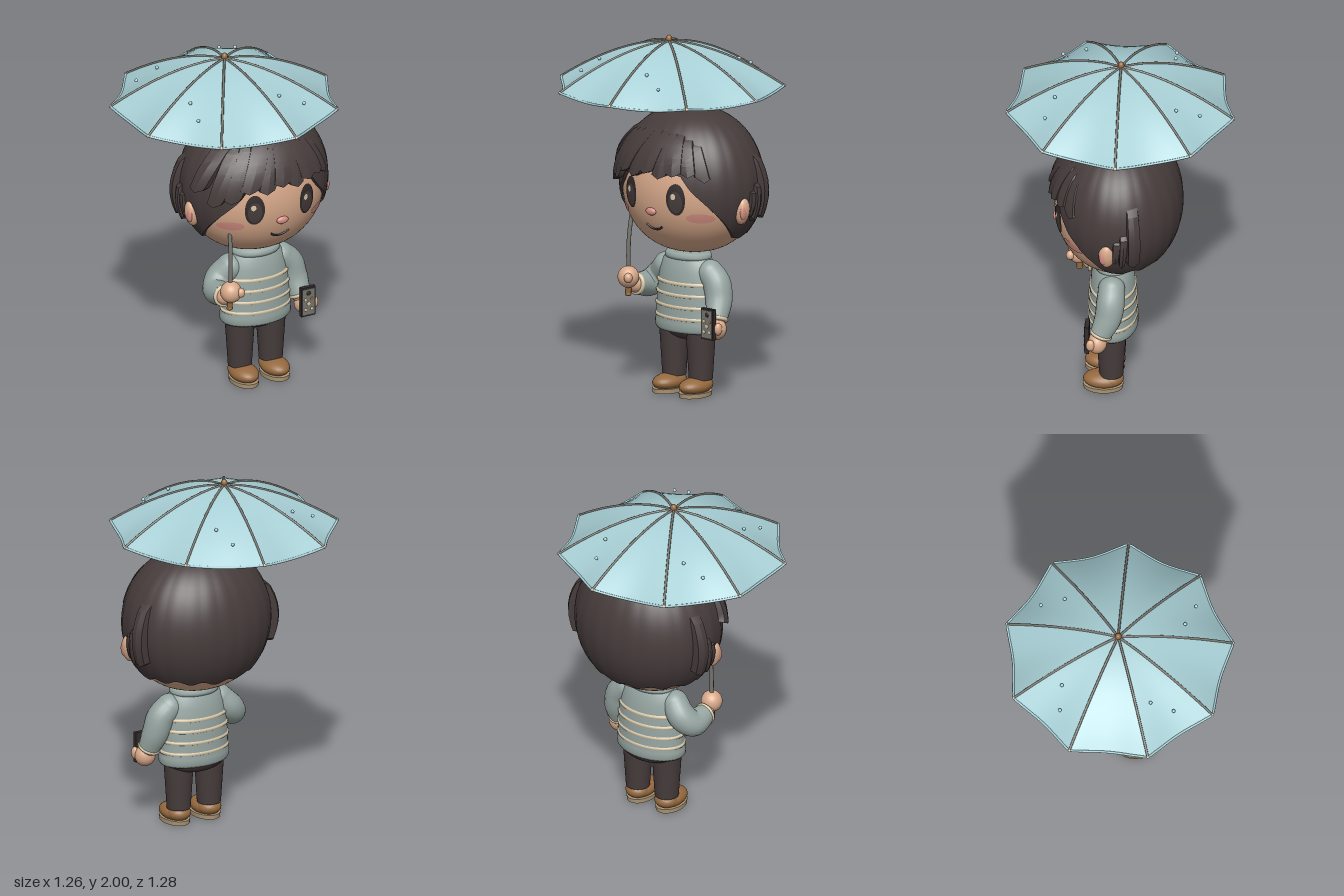
import * as THREE from 'three';
import { toCreasedNormals, mergeVertices } from 'three/addons/utils/BufferGeometryUtils.js';

const mat = (name, color, side = THREE.FrontSide) => {
  const m = new THREE.MeshStandardMaterial({ color, side });
  m.name = name;
  return m;
};
const V = (x, y, z) => new THREE.Vector3(x, y, z);
const DEG = Math.PI / 180;
const CX = 0.155; // body centre line

// Surface from fn(u, v) with v running down or outward, u anticlockwise from above
function grid(fn, nu, nv, crease = 0.7) {
  const pos = [], idx = [];
  for (let i = 0; i <= nv; i++)
    for (let j = 0; j <= nu; j++) pos.push(...fn(j / nu, i / nv, i, j));
  for (let i = 0; i < nv; i++)
    for (let j = 0; j < nu; j++) {
      const a = i * (nu + 1) + j, b = a + nu + 1;
      idx.push(a, b, a + 1, a + 1, b, b + 1);
    }
  const g = new THREE.BufferGeometry();
  g.setAttribute('position', new THREE.Float32BufferAttribute(pos, 3));
  g.setIndex(idx);
  return toCreasedNormals(mergeVertices(g, 1e-5), crease);
}

// Rounded, slightly square ellipsoids for head and hair
const HEAD = { y: 1.18, z: 0.01, rx: 0.41, ry: 0.375, rz: 0.35 };
const HAIR = { y: 1.205, z: 0.008, rx: 0.435, ry: 0.415, rz: 0.365 };
function onBlob(b, az, y, s = 1) {
  const c = Math.min(1, Math.max(-1, (y - b.y) / b.ry));
  const r = Math.pow(1 - c * c, 0.425) * s;
  return [CX + b.rx * r * Math.sin(az), y, b.z + b.rz * r * Math.cos(az)];
}
function faceZ(x, y) {
  const c = (y - HEAD.y) / HEAD.ry, R = Math.pow(1 - c * c, 0.425);
  return HEAD.z + HEAD.rz * Math.sqrt(Math.max(0, R * R - ((x - CX) / HEAD.rx) ** 2));
}

// Hairline height by angle from the front
const LINE = [[0, 1.34], [27, 1.3], [35, 1.22], [54, 1.1], [75, 0.97], [85, 0.92], [130, 0.93], [180, 0.91]];
function hairline(deg) {
  const k = LINE.findIndex((p, i) => i && deg <= p[0]);
  if (k < 1) return 0.91;
  const [a, b] = [LINE[k - 1], LINE[k]];
  return a[1] + (b[1] - a[1]) * (deg - a[0]) / (b[0] - a[0]);
}

export function createModel() {
  const M = {
    skin: mat('skin', 0xd9aa8b), hair: mat('dark hair and trousers', 0x473c3c, THREE.DoubleSide),
    knit: mat('grey knit', 0x96a5a1), cream: mat('cream', 0xd8c8a8),
    canopy: mat('pale blue fabric', 0xa8d0d6, THREE.DoubleSide), metal: mat('grey metal', 0x77756e),
    brown: mat('brown leather', 0x95693f), sole: mat('tan sole', 0xae9876),
    blush: mat('blush', 0xd48e83), dark: mat('near black', 0x322b2b),
  };
  const root = new THREE.Group();
  const group = (name) => { const g = new THREE.Group(); g.name = name; root.add(g); return g; };
  const add = (parent, name, geo, m) => {
    const o = new THREE.Mesh(geo, m);
    o.name = name;
    parent.add(o);
    return o;
  };
  const ball = (p, name, m, c, r) => {
    const o = add(p, name, new THREE.SphereGeometry(1, 28, 18), m);
    o.position.set(...c);
    o.scale.set(...r);
    return o;
  };
  const tube = (p, name, m, pts, r, n = 24, closed = false) =>
    add(p, name, new THREE.TubeGeometry(new THREE.CatmullRomCurve3(pts, closed), n, r, 8, closed), m);
  // Tube whose radius follows a list
  const limb = (p, name, m, pts, radii) => {
    const n = 20, curve = new THREE.CatmullRomCurve3(pts), g = new THREE.TubeGeometry(curve, n, 1, 20);
    const a = g.attributes.position, q = new THREE.Vector3();
    for (let i = 0; i < a.count; i++) {
      const t = Math.floor(i / 21) / n, c = curve.getPointAt(t);
      const k = t * (radii.length - 1), f = Math.min(Math.floor(k), radii.length - 2);
      q.fromBufferAttribute(a, i).sub(c).multiplyScalar(radii[f] + (radii[f + 1] - radii[f]) * (k - f)).add(c);
      a.setXYZ(i, q.x, q.y, q.z);
    }
    return add(p, name, g, m);
  };

  // Umbrella
  const umbrella = group('umbrella'), UX = -0.02, R = 0.64, N = 9;
  const dome = (t) => 1.965 - 0.25 * Math.pow(t, 1.7);
  const canopyPoint = (u, t, lift = 0) => {
    const s = Math.sin(Math.PI * ((u * N) % 1)), a = Math.PI / 2 + u * Math.PI * 2;
    const r = R * t * (1 - 0.085 * s * t);
    return [UX + r * Math.sin(a), dome(t) - 0.02 * s * t * t + lift, r * Math.cos(a)];
  };
  add(umbrella, 'canopy', grid((u, v) => canopyPoint(u, v), N * 10, 14, 0.3), M.canopy);
  const rim = [];
  for (let i = 0; i < N * 10; i++) rim.push(V(...canopyPoint(i / (N * 10), 1)));
  tube(umbrella, 'canopyEdge', M.canopy, rim, 0.007, 180, true);
  for (let k = 0; k < N; k++) {
    const pts = [];
    for (let i = 0; i <= 8; i++) pts.push(V(...canopyPoint(k / N, 0.02 + 0.98 * i / 8, 0.001)));
    tube(umbrella, 'rib', M.metal, pts, 0.007, 16);
    ball(umbrella, 'ribTip', M.cream, canopyPoint(k / N, 1), [0.009, 0.009, 0.009]);
  }
  for (const [x, z] of [[0.19, -0.45], [0.22, -0.32], [-0.42, -0.29], [-0.29, -0.29], [-0.35, 0.21], [-0.37, 0.34], [0.13, 0.36], [0.26, 0.41]])
    ball(umbrella, 'raindrop', M.canopy, [x, dome(Math.hypot(x - UX, z) / R) - 0.004, z], [0.01, 0.01, 0.01]);
  ball(umbrella, 'finial', M.brown, [UX, 1.977, 0], [0.018, 0.023, 0.018]);
  tube(umbrella, 'shaft', M.metal, [V(-0.113, 0.6, 0.235), V(-0.108, 0.92, 0.23), V(-0.08, 1.45, 0.1), V(-0.05, 1.7, 0.045), V(UX, 1.97, 0)], 0.012, 40);
  tube(umbrella, 'handle', M.brown, [V(-0.115, 0.55, 0.235), V(-0.113, 0.64, 0.235)], 0.017, 4);
  ball(umbrella, 'handleEnd', M.brown, [-0.115, 0.55, 0.235], [0.018, 0.012, 0.018]);

  // Head
  const head = group('head');
  add(head, 'face', grid((u, v) => onBlob(HEAD, u * 2 * Math.PI, HEAD.y + HEAD.ry * Math.cos(v * Math.PI)), 56, 36, 3), M.skin);
  // Thin patch laid on the face
  const patch = (name, m, cx, cy, rx, ry, off) => {
    const g = new THREE.RingGeometry(0.001, 1, 32, 5), a = g.attributes.position;
    for (let i = 0; i < a.count; i++) {
      const x = cx + a.getX(i) * rx, y = cy + a.getY(i) * ry;
      a.setXYZ(i, x, y, faceZ(x, y) + off);
    }
    g.computeVertexNormals();
    add(head, name, g, m);
  };
  for (const s of [-1, 1]) {
    patch('eye', M.dark, CX + s * 0.163, 1.165, 0.053, 0.09, 0.005);
    patch('iris', M.hair, CX + s * 0.163, 1.15, 0.038, 0.062, 0.007);
    patch('eyeHighlight', M.cream, CX + s * 0.163 - 0.01, 1.182, 0.014, 0.017, 0.009);
    patch('cheek', M.blush, CX + s * 0.272, 1.06, 0.062, 0.028, 0.005);
    const ear = ball(head, 'ear', M.skin, [CX + s * 0.41, 1.09, 0.05], [0.038, 0.077, 0.045]);
    ear.rotation.z = -s * 0.15;
    ball(head, 'innerEar', M.blush, [CX + s * 0.432, 1.09, 0.066], [0.016, 0.045, 0.024]);
  }
  ball(head, 'nose', M.blush, [CX, 1.08, faceZ(CX, 1.08) + 0.004], [0.036, 0.022, 0.016]);
  const smile = [-1, -0.5, 0, 0.5, 1].map((k) => {
    const x = CX + k * 0.058, y = 0.972 + 0.024 * k * k;
    return V(x, y, faceZ(x, y) + 0.002);
  });
  tube(head, 'mouth', M.dark, smile, 0.006);

  // Hair cap with fine grooves and a turned-in lip
  const hair = group('hair'), ROWS = 24;
  add(hair, 'hairCap', grid((u, v, i) => {
    const az = u * 2 * Math.PI, deg = Math.abs(u > 0.5 ? u * 360 - 360 : u * 360);
    const low = hairline(deg) + (deg > 88 ? 0.012 * Math.sin(az * 14) : 0);
    const th = Math.min(1, i / (ROWS - 1)) * Math.acos((low - HAIR.y) / HAIR.ry);
    const groove = 1 - 0.008 * Math.pow(Math.abs(Math.sin(az * 12)), 6);
    return onBlob(HAIR, az, HAIR.y + HAIR.ry * Math.cos(th), i === ROWS ? 0.88 : groove);
  }, 120, ROWS, 0.5), M.hair);
  // Lock of hair: az and y at root and tip, half widths in degrees, bulge
  const EDGE = [[-1, 0], [-0.8, 0.85], [0, 1], [0.8, 0.85], [1, 0]];
  const lock = (name, az0, y0, az1, y1, w0, w1, bulge) =>
    add(hair, name, grid((u, v, i, j) => {
      const t = Math.min(1, i / 7), [e, h] = EDGE[j];
      const w = w0 + (w1 - w0) * t, az = az0 + (az1 - az0) * t + e * w;
      const y = y0 + (y1 - y0) * t + (i >= 7 ? 0.025 * Math.abs(e) : 0);
      const lift = i === 0 || i === 8 ? -0.04 : bulge * h * (0.3 + 0.7 * Math.sin(Math.min(1, t * 1.4) * Math.PI / 2)) - 0.02 * (1 - h);
      return onBlob(HAIR, az * DEG, y, 1 + lift);
    }, 4, 8, 0.3), M.hair);
  const fringe = [
    [-58, 1.52, -70, 1.26, 12, 8, 0.1], [-40, 1.53, -54, 1.19, 12, 7, 0.08], [-28, 1.54, -40, 1.22, 11, 7, 0.08],
    [-16, 1.55, -27, 1.28, 11, 8, 0.09], [-6, 1.55, -14, 1.27, 10, 7, 0.08], [4, 1.54, -2, 1.3, 10, 8, 0.09],
    [12, 1.54, 10, 1.28, 10, 7, 0.08], [20, 1.53, 21, 1.3, 10, 8, 0.09], [28, 1.51, 33, 1.3, 10, 7, 0.07],
    [36, 1.49, 46, 1.27, 10, 6, 0.03],
  ];
  fringe.forEach((f) => lock('fringeLock', ...f));
  for (const s of [-1, 1]) {
    lock('sideTuft', s * 107, 1.41, s * 107, 1.03, 6, 6, 0.12);
    lock('sideStrand', s * 99, 1.25, s * 97, 1.02, 4, 3, 0.09);
    lock('sideStrand', s * 93, 1.21, s * 91, 1.05, 4, 3, 0.06);
  }

  // Sweater with raised stripes
  const torso = group('sweater');
  const round = (name, m, pts, sz = 0.66) => {
    const o = add(torso, name, new THREE.LatheGeometry(pts.map((p) => new THREE.Vector2(...p)), 48), m);
    o.position.set(CX, 0, 0.035);
    o.scale.z = sz;
    return o;
  };
  round('sweaterBody', M.knit, [[0, 0.365], [0.2, 0.36], [0.212, 0.375], [0.213, 0.41], [0.205, 0.43], [0.203, 0.52], [0.195, 0.62], [0.182, 0.7], [0.158, 0.76], [0.132, 0.79], [0.1, 0.81], [0, 0.815]]);
  round('collar', M.knit, [[0.11, 0.765], [0.142, 0.77], [0.147, 0.785], [0.138, 0.803], [0.1, 0.81]], 0.74);
  for (const [y, r] of [[0.44, 0.204], [0.505, 0.203], [0.572, 0.199], [0.637, 0.193]])
    round('stripe', M.cream, [[r - 0.004, y - 0.011], [r + 0.007, y - 0.007], [r + 0.008, y + 0.006], [r - 0.004, y + 0.011]]);

  // Arms
  const arms = group('arms');
  const arm = (name, pts, radii) => {
    limb(arms, name, M.knit, pts, radii);
    const e = pts.length - 1, r = radii[radii.length - 1];
    ball(arms, 'shoulder', M.knit, pts[0].toArray(), [radii[0], radii[0], radii[0]]);
    const cuff = add(arms, 'cuff', new THREE.TorusGeometry(r - 0.006, 0.012, 10, 28), M.cream);
    cuff.position.copy(pts[e]);
    cuff.quaternion.setFromUnitVectors(V(0, 0, 1), pts[e].clone().sub(pts[e - 1]).normalize());
    ball(arms, 'wrist', M.skin, pts[e].toArray(), [r - 0.008, r - 0.008, r - 0.008]);
  };
  arm('leftSleeve', [V(0.315, 0.7, 0.035), V(0.365, 0.65, 0.038), V(0.392, 0.56, 0.05), V(0.41, 0.46, 0.09)], [0.075, 0.08, 0.075, 0.06]);
  ball(arms, 'leftHand', M.skin, [0.425, 0.41, 0.11], [0.06, 0.062, 0.055]);
  ball(arms, 'leftThumb', M.skin, [0.47, 0.42, 0.145], [0.02, 0.035, 0.025]);
  arm('rightSleeve', [V(-0.005, 0.7, 0.035), V(-0.06, 0.64, 0.02), V(-0.105, 0.59, 0.06), V(-0.113, 0.6, 0.17)], [0.075, 0.08, 0.075, 0.06]);
  ball(arms, 'rightHand', M.skin, [-0.11, 0.65, 0.24], [0.06, 0.062, 0.06]);
  ball(arms, 'rightThumb', M.skin, [-0.072, 0.655, 0.285], [0.024, 0.028, 0.024]);

  // Phone
  const phone = group('phone');
  phone.position.set(0.415, 0.445, 0.165);
  add(phone, 'phoneBody', new THREE.BoxGeometry(0.09, 0.175, 0.024), M.dark);
  add(phone, 'phonePanel', new THREE.BoxGeometry(0.072, 0.155, 0.004), M.metal).position.z = 0.013;
  for (const [x, y, r, m] of [[0, 0.052, 0.013, 'dark'], [-0.02, 0.015, 0.009, 'cream'], [0.02, 0.015, 0.009, 'brown'], [0, -0.012, 0.011, 'cream'], [-0.02, -0.045, 0.009, 'cream'], [0.02, -0.045, 0.009, 'cream']])
    ball(phone, 'phoneButton', M[m], [x, y, 0.015], [r, r, 0.004]);

  // Trousers and shoes
  const legs = group('legs');
  ball(legs, 'hips', M.hair, [CX, 0.375, 0.02], [0.18, 0.075, 0.118]);
  for (const x of [0.055, 0.25]) {
    const leg = add(legs, 'trouserLeg', new THREE.CylinderGeometry(0.086, 0.067, 0.3, 32), M.hair);
    leg.position.set(x, 0.24, 0.04);
    ball(legs, 'shoe', M.brown, [x, 0.055, 0.085], [0.077, 0.048, 0.112]);
    ball(legs, 'shoeHeel', M.brown, [x, 0.06, 0.04], [0.069, 0.046, 0.07]);
    const sole = add(legs, 'sole', new THREE.CylinderGeometry(0.076, 0.074, 0.026, 32), M.sole);
    sole.position.set(x, 0.013, 0.085);
    sole.scale.z = 1.48;
  }
  return root;
}
